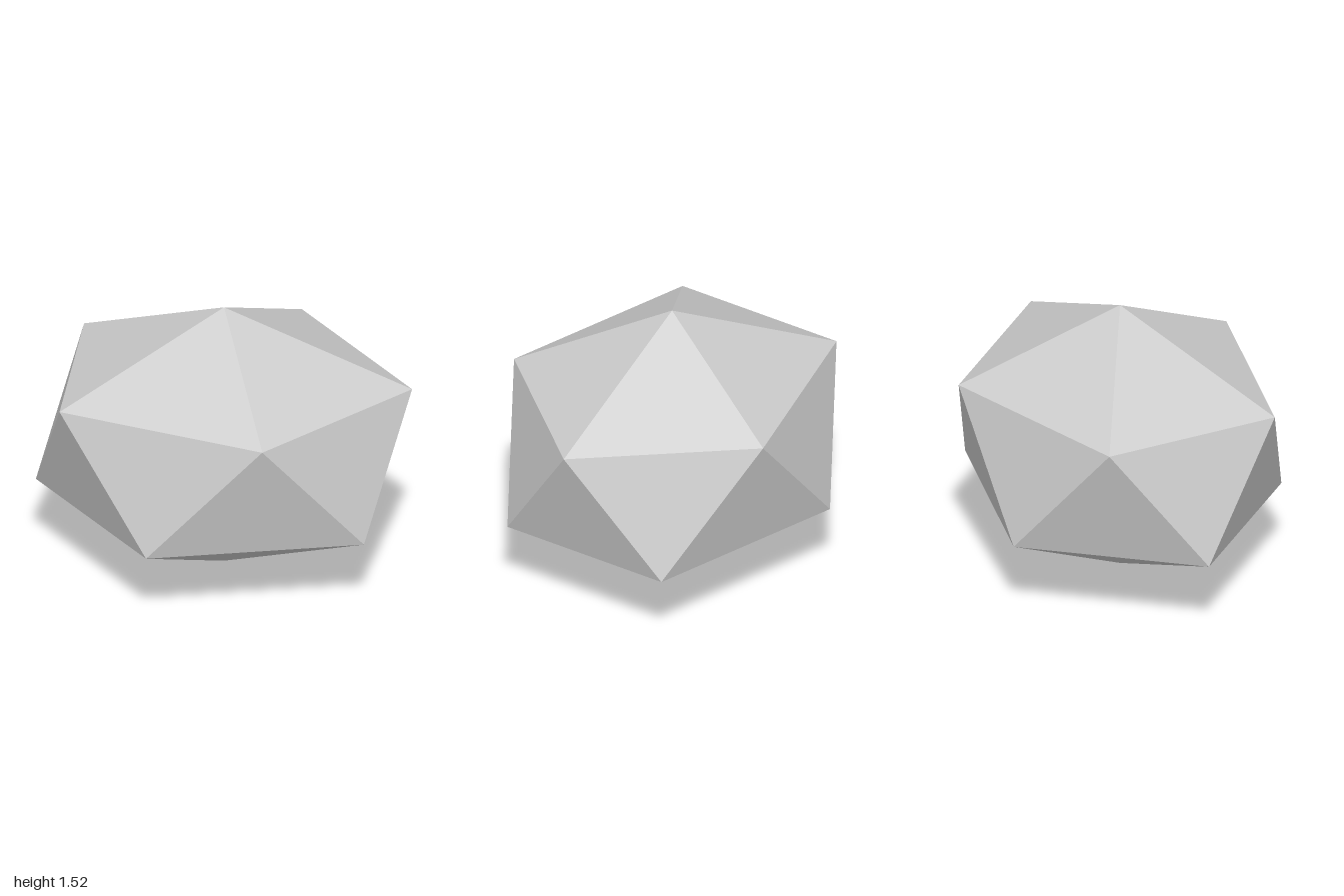
import * as THREE from 'three';

const SIDES = 5;
const DEPTH = 0.84; // z squash of the five-sided rings

// Ring of five corners, turned by a start angle
function ring(y, start) {
  return Array.from({ length: SIDES }, (_, i) => {
    const a = start + (i * 2 * Math.PI) / SIDES;
    return new THREE.Vector3(Math.cos(a), y, DEPTH * Math.sin(a));
  });
}

export function createModel() {
  const group = new THREE.Group();
  group.name = 'facetedStone';

  const top = new THREE.Vector3(0, 1.52, 0);
  const base = new THREE.Vector3(0, 0, 0);
  const upper = ring(1.1, 0);
  const lower = ring(0.42, Math.PI / SIDES);

  // Squashed icosahedron: top cap, zigzag band, bottom cap
  const corners = [];
  for (let i = 0; i < SIDES; i++) {
    const j = (i + 1) % SIDES;
    corners.push(top, upper[j], upper[i]);
    corners.push(upper[i], upper[j], lower[i]);
    corners.push(lower[i], upper[j], lower[j]);
    corners.push(base, lower[i], lower[j]);
  }
  const geometry = new THREE.BufferGeometry().setFromPoints(corners);
  geometry.computeVertexNormals();

  const stone = new THREE.Mesh(
    geometry,
    new THREE.MeshStandardMaterial({ color: 0xcccccc, flatShading: true })
  );
  stone.name = 'stone';
  group.add(stone);
  return group;
}
